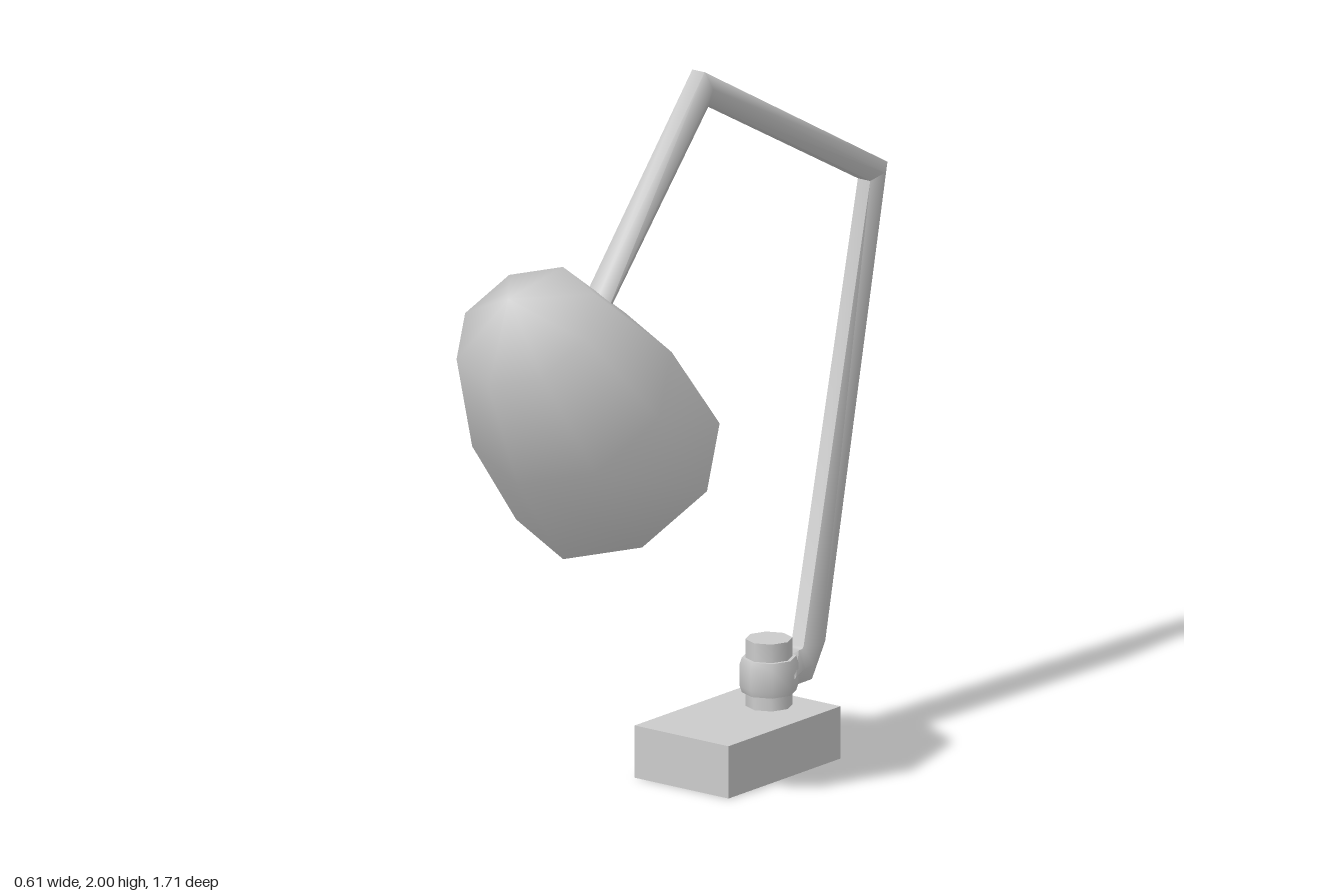
import * as THREE from 'three';
import { toCreasedNormals } from 'three/addons/utils/BufferGeometryUtils.js';

const material = new THREE.MeshStandardMaterial({ color: 0xcccccc });

function addMesh(group, name, geometry, x, y, z) {
  const mesh = new THREE.Mesh(geometry, material);
  mesh.name = name;
  mesh.position.set(x, y, z);
  group.add(mesh);
  return mesh;
}

// Eight-sided turned part from [radius, height] pairs
function turned(profile) {
  const points = profile.map(([r, y]) => new THREE.Vector2(r, y));
  return toCreasedNormals(new THREE.LatheGeometry(points, 8), 1.1);
}

// Six-sided bar through sections of
// [inner edge z, y, outer edge z, y, half width in x]
function bentBar(sections) {
  const positions = [], index = [], n = 6;
  for (const [za, ya, zb, yb, w] of sections) {
    for (let j = 0; j < n; j++) {
      const a = (j / n) * Math.PI * 2;
      const t = 0.5 + Math.sin(a) / Math.sqrt(3);
      positions.push(Math.cos(a) * w, ya + (yb - ya) * t, za + (zb - za) * t);
    }
  }
  for (let i = 0; i < sections.length - 1; i++) {
    for (let j = 0; j < n; j++) {
      const a = i * n + j, b = i * n + ((j + 1) % n);
      index.push(a, b, a + n, b, b + n, a + n);
    }
  }
  // End caps
  const last = (sections.length - 1) * n;
  for (let j = 1; j < n - 1; j++) {
    index.push(0, j + 1, j, last, last + j, last + j + 1);
  }
  const geometry = new THREE.BufferGeometry();
  geometry.setAttribute('position', new THREE.Float32BufferAttribute(positions, 3));
  geometry.setIndex(index);
  return toCreasedNormals(geometry, 1.1);
}

export function createModel() {
  const lamp = new THREE.Group();
  lamp.name = 'deskLamp';
  const armX = -0.004, pivotZ = -0.368;

  // Block base
  addMesh(lamp, 'base', new THREE.BoxGeometry(0.322, 0.147, 0.488), -0.006, 0.0735, -0.234);

  // Pivot post and the collar that turns on it
  addMesh(lamp, 'pivotPost', turned([[0, 0.14], [0.064, 0.14], [0.064, 0.335], [0, 0.335]]), armX, 0, pivotZ);
  addMesh(lamp, 'pivotCollar', turned([
    [0, 0.186], [0.074, 0.186], [0.08, 0.205], [0.08, 0.264], [0.074, 0.283], [0, 0.283],
  ]), armX, 0, pivotZ);

  // Arm: flares out of the collar, then rises and bends forward to the shade
  addMesh(lamp, 'arm', bentBar([
    [-0.39, 0.281, -0.39, 0.187, 0.076],
    [-0.47, 0.281, -0.47, 0.187, 0.044],
    [-0.486, 0.281, -0.528, 0.187, 0.0425],
    [-0.492, 0.287, -0.586, 0.281, 0.0425],
    [-0.782, 1.528, -0.857, 1.565, 0.0425],
    [-0.082, 1.905, -0.061, 2.0, 0.0425],
    [0.35, 1.43, 0.415, 1.46, 0.0425],
  ]), armX, 0, 0);

  // Hollow shade: inner wall down to the rim, then the outer wall up to the tip
  const shade = addMesh(lamp, 'shade', turned([
    [0, 0.72], [0.175, 0.605], [0.262, 0.31], [0.265, 0],
    [0.306, 0], [0.3, 0.32], [0.208, 0.641], [0, 0.765],
  ]), -0.002, 0.956, 0.2925);
  shade.rotation.x = 0.677;

  return lamp;
}
